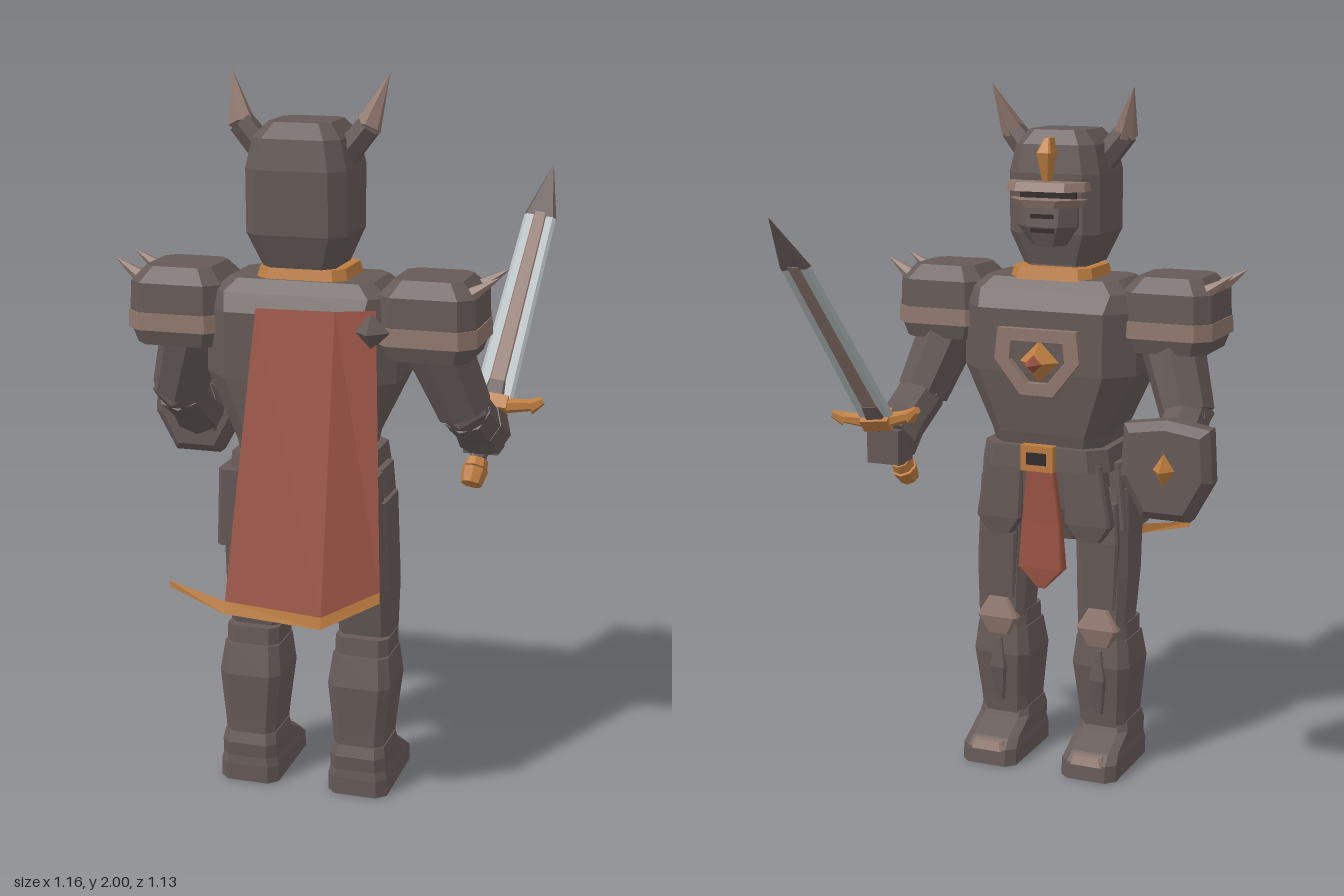
import * as THREE from 'three';

const V = (x, y, z) => new THREE.Vector3(x, y, z);

export function createModel() {
  const mat = (name, color, side = THREE.FrontSide) => {
    const m = new THREE.MeshStandardMaterial({ color, side });
    m.name = name;
    return m;
  };
  const iron = mat('dark iron', 0x655a57);
  const trim = mat('worn bronze trim', 0x8f776d);
  const gold = mat('gold', 0xbd7d40, THREE.DoubleSide);
  const cloth = mat('red cloth', 0x9a5343, THREE.DoubleSide);
  const silver = mat('blade silver', 0xb6bec0);
  const dark = mat('shadow black', 0x322c2b);

  const root = new THREE.Group();
  root.name = 'armouredKnight';
  const body = new THREE.Group();
  body.name = 'body';
  body.position.x = -0.006;
  root.add(body);

  // Faceted mesh
  function add(parent, name, geo, material) {
    const g = geo.index ? geo.toNonIndexed() : geo;
    g.computeVertexNormals();
    const m = new THREE.Mesh(g, material);
    m.name = name;
    parent.add(m);
    return m;
  }
  // Stack of chamfered rectangles: [y, cx, cz, halfWidth, halfDepth, chamfer]
  function loft(rings) {
    const pos = [], idx = [], n = 8;
    for (const [y, cx, cz, w, d, c = 0.3] of rings) {
      const k = Math.min(w, d) * c;
      for (const [x, z] of [[w, -d + k], [w, d - k], [w - k, d], [-w + k, d],
        [-w, d - k], [-w, -d + k], [-w + k, -d], [w - k, -d]]) pos.push(cx + x, y, cz + z);
    }
    const top = (rings.length - 1) * n;
    for (let r = 0; r < top; r += n) for (let i = 0; i < n; i++) {
      const j = (i + 1) % n;
      idx.push(r + i, r + n + i, r + n + j, r + i, r + n + j, r + j);
    }
    for (let i = 1; i < n - 1; i++) idx.push(0, i, i + 1, top, top + i + 1, top + i);
    const g = new THREE.BufferGeometry();
    g.setAttribute('position', new THREE.Float32BufferAttribute(pos, 3));
    g.setIndex(idx);
    return g;
  }
  // Tapered prism between two points
  function limb(a, b, ra, rb, sides = 6) {
    const d = b.clone().sub(a);
    const g = new THREE.CylinderGeometry(rb, ra, d.length(), sides);
    g.applyQuaternion(new THREE.Quaternion().setFromUnitVectors(V(0, 1, 0), d.normalize()));
    const c = a.clone().add(b).multiplyScalar(0.5);
    return g.translate(c.x, c.y, c.z);
  }
  const box = (w, h, d, x, y, z) => new THREE.BoxGeometry(w, h, d).translate(x, y, z);
  // Four-sided stud pointing to the front (-z)
  const stud = (r, h, x, y, z, stretch = 1) =>
    new THREE.ConeGeometry(r, h, 4).rotateX(-Math.PI / 2).scale(1, stretch, 1).translate(x, y, z - h / 2);
  // Open sheet between an upper and a lower edge
  function sheet(up, low) {
    const pos = [];
    for (let i = 0; i < up.length - 1; i++)
      pos.push(...low[i], ...low[i + 1], ...up[i], ...low[i + 1], ...up[i + 1], ...up[i]);
    const g = new THREE.BufferGeometry();
    g.setAttribute('position', new THREE.Float32BufferAttribute(pos, 3));
    return g;
  }
  const shape = (pts) => new THREE.Shape(pts.map(([x, y]) => new THREE.Vector2(x, y)));

  // Torso, hips and belt
  add(body, 'breastplate', loft([[0.95, 0, 0.21, 0.16, 0.14], [1.02, 0, 0.205, 0.175, 0.15], [1.2, 0, 0.2, 0.265, 0.165, 0.45],
    [1.38, 0, 0.2, 0.265, 0.165, 0.45], [1.43, 0, 0.205, 0.24, 0.135], [1.465, 0, 0.205, 0.2, 0.11]]), iron);
  add(body, 'hips', loft([[0.7, 0, 0.2, 0.1, 0.09], [0.8, 0, 0.2, 0.17, 0.13], [0.93, 0, 0.2, 0.18, 0.14]]), iron);
  add(body, 'belt', loft([[0.92, 0, 0.2, 0.2, 0.165], [0.985, 0, 0.2, 0.19, 0.16]]), iron);
  add(body, 'buckle', box(0.1, 0.075, 0.03, 0, 0.955, 0.03), gold);
  add(body, 'buckleInset', box(0.06, 0.035, 0.006, 0, 0.955, 0.013), dark);
  add(body, 'frontCloth', loft([[0.56, 0, 0.055, 0.012, 0.008], [0.62, 0, 0.06, 0.07, 0.02],
    [0.76, 0, 0.058, 0.06, 0.014], [0.93, 0, 0.05, 0.04, 0.012]]), cloth);

  // Chest badge
  const frame = shape([[-0.12, 0.09], [0.12, 0.09], [0.13, 0], [0.05, -0.1], [-0.05, -0.1], [-0.13, 0]]);
  frame.holes.push(shape([[-0.08, 0.055], [-0.085, 0], [-0.03, -0.065], [0.03, -0.065], [0.085, 0], [0.08, 0.055]]));
  add(body, 'badgeFrame', new THREE.ExtrudeGeometry(frame, { depth: 0.04, bevelEnabled: false }).translate(0, 1.24, 0.012), trim);
  add(body, 'badge', stud(0.06, 0.06, 0, 1.235, 0.035), gold);
  add(body, 'badgeGem', stud(0.026, 0.045, 0, 1.235, -0.01), cloth);

  // Collar and helmet
  add(body, 'collar', loft([[1.455, 0, 0.2, 0.128, 0.11], [1.495, 0, 0.2, 0.118, 0.1]]), gold);
  add(body, 'neck', loft([[1.45, 0, 0.21, 0.09, 0.08], [1.53, 0, 0.22, 0.09, 0.08]]), iron);
  add(body, 'helmet', loft([[1.5, 0, 0.23, 0.1, 0.1], [1.59, 0, 0.235, 0.138, 0.128], [1.76, 0, 0.235, 0.138, 0.132],
    [1.84, 0, 0.235, 0.12, 0.122], [1.88, 0, 0.23, 0.085, 0.09]]), iron);
  add(body, 'visorSlit', box(0.17, 0.035, 0.012, 0, 1.705, 0.1), dark);
  add(body, 'brow', loft([[1.715, 0, 0.105, 0.12, 0.075, 0.6], [1.74, 0, 0.11, 0.115, 0.07, 0.6]]), trim);
  add(body, 'visorLip', loft([[1.67, 0, 0.105, 0.1, 0.075, 0.75], [1.692, 0, 0.1, 0.112, 0.078, 0.75]]), trim);
  add(body, 'faceGuard', loft([[1.56, 0, 0.13, 0.05, 0.06, 0.5], [1.615, 0, 0.12, 0.09, 0.07, 0.6],
    [1.67, 0, 0.12, 0.09, 0.065, 0.6]]), iron);
  for (const y of [1.605, 1.645]) add(body, 'breathSlit', box(0.07, 0.012, 0.006, 0, y, 0.052), dark);
  add(body, 'crest', loft([[1.74, 0, 0.09, 0.01, 0.015], [1.82, 0, 0.09, 0.022, 0.032], [1.86, 0, 0.105, 0.008, 0.02]]), gold);

  for (const s of [-1, 1]) {
    const side = s > 0 ? 'left' : 'right';
    const part = new THREE.Group();
    part.name = side + 'Side';
    body.add(part);

    // Horn
    add(part, 'hornBase', limb(V(s * 0.1, 1.78, 0.245), V(s * 0.175, 1.87, 0.25), 0.04, 0.036), iron);
    add(part, 'hornTip', limb(V(s * 0.172, 1.865, 0.25), V(s * 0.216, 2, 0.2), 0.037, 0.001), trim);

    // Shoulder plates and spikes
    const px = s * 0.348;
    add(part, 'lowerShoulderPlate', loft([[1.27, px, 0.215, 0.115, 0.12], [1.315, px, 0.215, 0.13, 0.132]]), iron);
    add(part, 'shoulderBand', loft([[1.312, px, 0.215, 0.138, 0.138], [1.36, px, 0.215, 0.136, 0.136]]), trim);
    add(part, 'shoulderPlate', loft([[1.36, px, 0.215, 0.133, 0.133], [1.44, px, 0.215, 0.13, 0.13],
      [1.482, px, 0.215, 0.092, 0.095]]), iron);
    for (const z of [0.145, 0.28])
      add(part, 'shoulderSpike', limb(V(s * 0.42, 1.42, z), V(s * 0.532, 1.495, z), 0.034, 0.001), trim);

    // Arm
    const elbow = V(s * 0.415, 1.1, 0.125), wrist = V(s * 0.425, 1, -0.045);
    add(part, 'upperArm', limb(V(s * 0.33, 1.34, 0.195), elbow, 0.095, 0.078, 8), iron);
    add(part, 'elbow', new THREE.IcosahedronGeometry(0.078, 0).translate(...elbow.toArray()), iron);
    add(part, 'forearm', limb(elbow, wrist, 0.07, 0.068, 8), iron);
    add(part, 'cuff', limb(V(s * 0.423, 1.035, 0.01), V(s * 0.427, 0.99, -0.06), 0.07, 0.08, 8), iron);
    add(part, 'fist', box(0.1, 0.1, 0.09, s * 0.425, 0.975, -0.075).translate(0, 0.005, 0), iron);

    // Thigh with hip plates
    const lx = s * 0.16;
    add(part, 'thigh', loft([[0.44, lx, 0.17, 0.073, 0.065], [0.6, lx, 0.185, 0.08, 0.078],
      [0.86, lx * 0.95, 0.21, 0.082, 0.09]]), iron);
    add(part, 'thighPlate', loft([[0.5, lx, 0.12, 0.05, 0.02], [0.7, lx, 0.115, 0.06, 0.022], [0.82, lx, 0.12, 0.05, 0.02]]), iron);
    add(part, 'frontHipPlate', loft([[0.71, s * 0.14, 0.08, 0.035, 0.018], [0.76, s * 0.14, 0.08, 0.07, 0.026],
      [0.94, s * 0.12, 0.075, 0.06, 0.022]]), iron);
    add(part, 'rearHipPlate', loft([[0.72, s * 0.185, 0.295, 0.045, 0.05], [0.94, s * 0.165, 0.295, 0.055, 0.06]]), iron);
    add(part, 'sideHipPlate', loft([[0.74, s * 0.215, 0.17, 0.018, 0.05], [0.94, s * 0.195, 0.18, 0.02, 0.06]]), iron);

    // Knee, shin and boot
    add(part, 'kneeGuard', loft([[0.385, lx, 0.115, 0.035, 0.02], [0.44, lx, 0.115, 0.065, 0.032],
      [0.5, lx, 0.115, 0.03, 0.018]]), trim);
    add(part, 'kneeBand', loft([[0.4, lx, 0.19, 0.077, 0.08], [0.455, lx, 0.19, 0.076, 0.076]]), iron);
    add(part, 'shin', loft([[0.12, lx, 0.21, 0.07, 0.085], [0.18, lx, 0.208, 0.075, 0.088], [0.32, lx, 0.2, 0.09, 0.1],
      [0.405, lx, 0.195, 0.08, 0.085]]), iron);
    add(part, 'shinRidge', loft([[0.17, lx, 0.118, 0.01, 0.008], [0.28, lx, 0.1, 0.024, 0.012],
      [0.37, lx, 0.105, 0.01, 0.008]]), iron);
    add(part, 'boot', loft([[0, lx, 0.157, 0.086, 0.152], [0.05, lx, 0.16, 0.086, 0.15], [0.075, lx, 0.175, 0.08, 0.132],
      [0.115, lx, 0.215, 0.08, 0.095], [0.145, lx, 0.215, 0.075, 0.085]]), iron);
    add(part, 'toeCap', loft([[0.045, lx, 0.035, 0.055, 0.03], [0.07, lx, 0.045, 0.045, 0.03]]), trim);
  }

  // Cape with a gold hem that trails off to one side
  const hemTop = [[-0.135, 0.64, 0.555], [0.125, 0.615, 0.535], [0.265, 0.675, 0.463]];
  const hemLow = [[-0.135, 0.608, 0.565], [0.125, 0.583, 0.542], [0.266, 0.645, 0.468]];
  add(root, 'cape', sheet([[-0.1, 1.4, 0.385], [0.12, 1.405, 0.392], [0.225, 1.41, 0.372]], hemTop), cloth);
  add(root, 'capeHem', sheet([[-0.3, 0.672, 0.53], ...hemTop], [[-0.3, 0.655, 0.53], ...hemLow]), gold);
  add(root, 'capeClasp', new THREE.OctahedronGeometry(0.05, 0).translate(0.215, 1.355, 0.38), iron);

  // Shield
  const plate = shape([[-0.1, 0.1], [0, 0.115], [0.1, 0.1], [0.107, -0.02], [0.055, -0.115], [-0.055, -0.115], [-0.107, -0.02]]);
  const shield = new THREE.Group();
  shield.name = 'shield';
  shield.position.set(-0.446, 0.995, -0.1);
  root.add(shield);
  add(shield, 'shieldPlate', new THREE.ExtrudeGeometry(plate, { depth: 0.044, bevelThickness: 0.022, bevelSize: 0.024,
    bevelSegments: 1 }).translate(0, 0, -0.022), iron);
  add(shield, 'shieldBoss', stud(0.034, 0.045, 0, 0.005, -0.04, 1.5), gold);

  // Sword, built upright and then aimed
  const sword = new THREE.Group();
  sword.name = 'sword';
  const dir = V(0.095, 0.81, -0.585).normalize();
  const across = V(1, -0.117, 0);
  across.addScaledVector(dir, -across.dot(dir)).normalize();
  sword.applyMatrix4(new THREE.Matrix4().makeBasis(across, dir, across.clone().cross(dir)).setPosition(0.41, 0.87, 0.02));
  root.add(sword);
  add(sword, 'pommel', limb(V(0, -0.015, 0), V(0, 0.03, 0), 0.03, 0.038, 8), gold);
  add(sword, 'pommelRing', limb(V(0, 0.035, 0), V(0, 0.06, 0), 0.034, 0.03, 8), gold);
  add(sword, 'grip', limb(V(0, 0.03, 0), V(0, 0.24, 0), 0.024, 0.024, 8), iron);
  add(sword, 'guardBlock', box(0.09, 0.04, 0.055, 0, 0.235, 0), gold);
  for (const s of [-1, 1]) {
    add(sword, 'guardArm', limb(V(s * 0.035, 0.232, 0), V(s * 0.115, 0.25, 0), 0.022, 0.016), gold);
    add(sword, 'guardTip', limb(V(s * 0.105, 0.242, 0), V(s * 0.138, 0.268, 0), 0.023, 0.012), gold);
  }
  add(sword, 'bladeCollar', loft([[0.25, 0, 0, 0.03, 0.02], [0.3, 0, 0, 0.024, 0.016]]), iron);
  add(sword, 'blade', loft([[0.25, 0, 0, 0.056, 0.01, 0.9], [0.83, 0, 0, 0.047, 0.01, 0.9]]), silver);
  add(sword, 'bladeRidge', loft([[0.26, 0, 0, 0.024, 0.014], [0.84, 0, 0, 0.019, 0.013]]), trim);
  add(sword, 'bladeTip', loft([[0.83, 0, 0, 0.048, 0.011, 0.9], [1.003, 0, 0, 0.001, 0.001]]), iron);

  return root;
}
